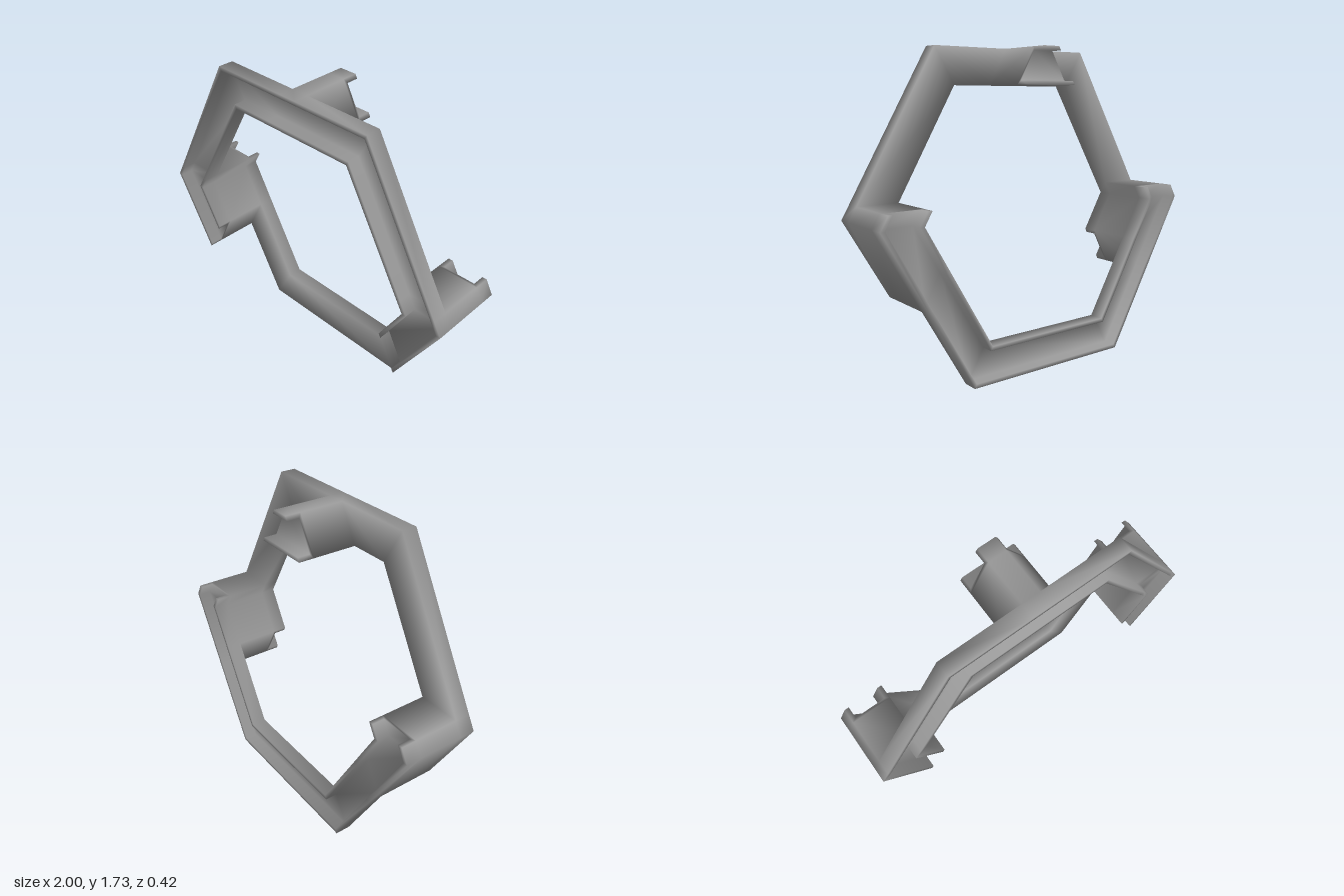
import * as THREE from 'three';

// Cross-sections as [t, z]: t runs from the outer rim (0) to the inner rim (1)
const frontChannel = [[1, 0.125], [1, 0.21], [0.89, 0.21], [0.89, 0.14], [0.11, 0.14], [0.11, 0.21], [0, 0.21], [0, 0.125]];
const backChannel = frontChannel.map(([t, z]) => [t, -z]).reverse();
const frontRingBack = [[0, 0.125], [1, 0.125]];
const backRingFront = [[1, -0.125], [0, -0.125]];
const outerWall = [[0, 0.125], [0, -0.125]];
const innerWall = [[1, -0.125], [1, 0.125]];

// Stations around the hexagon: [outer x, outer y, inner x, inner y]
const upperEnd = [0.957, 0.94, 0.727, 0.94];
const topCorner = [0.5, 1.732, 0.385, 1.533];
const topCut = [0.05, 1.732, 0.16, 1.533];
const sideCorner = [1, 0.866, 0.77, 0.866];
const lowerCut = [0.75, 0.433, 0.64, 0.641];
const bottomCorner = [0.5, 0, 0.385, 0.2];
const mirror = ([ox, oy, ix, iy]) => [-ox, oy, -ix, iy];
const mirrorPath = (path) => path.map(mirror).reverse();

// Paths run counterclockwise seen from the front
const sidePath = [lowerCut, sideCorner, upperEnd];
const upperPath = [upperEnd, topCorner, topCut];
const topPath = [topCut, mirror(topCut)];
const lowerPath = [mirror(lowerCut), mirror(bottomCorner), bottomCorner, lowerCut];

export function createModel() {
  const positions = [], normals = [], known = new Map(), parts = [];
  let index;

  const part = (name) => {
    index = [];
    parts.push({ name, index });
  };

  // Corners are shared by all parts, so shading runs smoothly across the joints
  function vertex(p) {
    const key = p.map((v) => Math.round(v * 1000)).join();
    if (!known.has(key)) {
      known.set(key, positions.length);
      positions.push(new THREE.Vector3(...p));
      normals.push(new THREE.Vector3());
    }
    return known.get(key);
  }

  // Adds a flat face; each face counts equally in its corners' normals
  function face(points, triangles) {
    const ids = points.map(vertex);
    const [a, b, c] = triangles[0].map((k) => positions[ids[k]]);
    const normal = b.clone().sub(a).cross(c.clone().sub(a)).normalize();
    ids.forEach((id) => normals[id].add(normal));
    triangles.forEach((t) => index.push(...t.map((k) => ids[k])));
  }

  const place = ([ox, oy, ix, iy], section) =>
    section.map(([t, z]) => [ox + (ix - ox) * t, oy + (iy - oy) * t, z]);

  // Sweeps an open section along a path
  function sweep(section, path) {
    for (let i = 0; i < path.length - 1; i++) {
      const r = place(path[i], section), s = place(path[i + 1], section);
      for (let j = 0; j < section.length - 1; j++) {
        face([r[j], r[j + 1], s[j + 1], s[j]], [[0, 1, 2], [0, 2, 3]]);
      }
    }
  }

  // Closes the end of a joint; start caps face backwards along the path
  function cap(section, station, start) {
    const contour = section.map(([t, z]) => new THREE.Vector2(t, z));
    const triangles = THREE.ShapeUtils.triangulateShape(contour, []);
    face(place(station, section), triangles.map(([a, b, c]) => (start ? [a, c, b] : [a, b, c])));
  }
  const upperCap = [...backChannel, ...frontRingBack.slice().reverse()];
  const lowerCap = [...frontChannel, ...backRingFront.slice().reverse()];

  // Upper frame, channel open to the front
  for (const [name, path] of [['frontFrameLeft', upperPath], ['frontFrameRight', mirrorPath(upperPath)]]) {
    part(name);
    sweep(frontChannel, path);
    sweep(frontRingBack, path);
  }

  // Lower frame, channel open to the back
  part('backFrame');
  sweep(backChannel, lowerPath);
  sweep(backRingFront, lowerPath);

  // Joints through the full depth, channelled front and back
  const joints = [
    ['topJoint', topPath, upperCap, upperCap],
    ['sideJointLeft', sidePath, lowerCap, upperCap],
    ['sideJointRight', mirrorPath(sidePath), upperCap, lowerCap],
  ];
  for (const [name, path, startCap, endCap] of joints) {
    part(name);
    for (const section of [frontChannel, outerWall, backChannel, innerWall]) sweep(section, path);
    cap(startCap, path[0], true);
    cap(endCap, path[path.length - 1], false);
  }

  const position = new THREE.Float32BufferAttribute(positions.flatMap((p) => p.toArray()), 3);
  const normal = new THREE.Float32BufferAttribute(normals.flatMap((n) => n.normalize().toArray()), 3);
  // Dark grey finish
  const material = new THREE.MeshStandardMaterial({ color: 0x999999 });
  const group = new THREE.Group();
  group.name = 'hexagonalFrame';
  for (const { name, index: indices } of parts) {
    const geometry = new THREE.BufferGeometry();
    geometry.setAttribute('position', position);
    geometry.setAttribute('normal', normal);
    geometry.setIndex(indices);
    const mesh = new THREE.Mesh(geometry, material);
    mesh.name = name;
    group.add(mesh);
  }
  return group;
}
